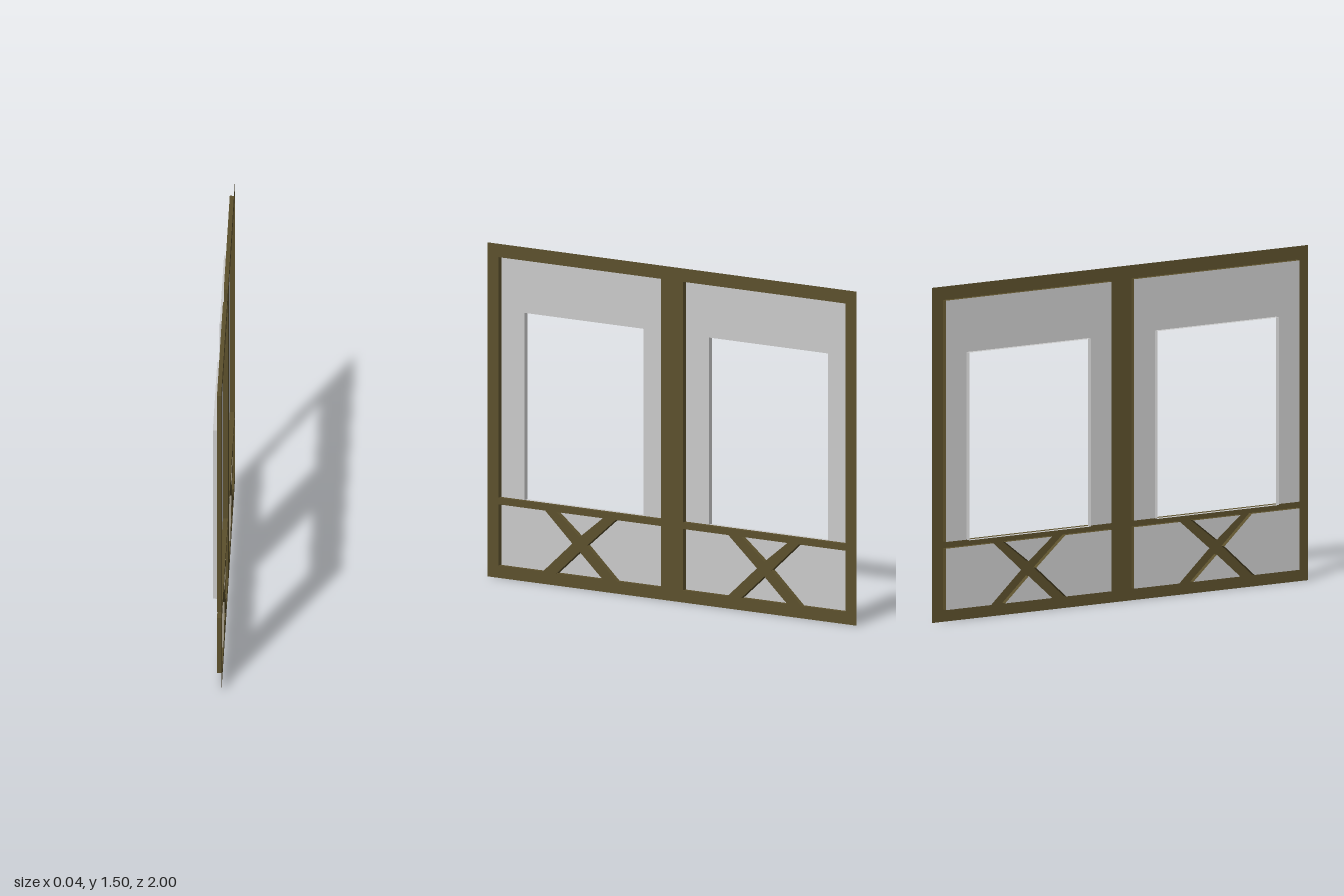
import * as THREE from 'three';

const FRONT = 0.022, WALL = 0, BACK = -0.022; // depth layers along x
const wood = new THREE.MeshStandardMaterial({ color: 0x5c502c, side: THREE.DoubleSide });
const plaster = new THREE.MeshStandardMaterial({ color: 0xcccccc, side: THREE.DoubleSide });

// Outlines are drawn as [u, y] with u = -z, so flat faces look towards +x.
const toPoints = (loop) => loop.map(([u, y]) => new THREE.Vector2(u, y));
const rect = (u0, u1, y0, y1) => [[u0, y0], [u1, y0], [u1, y1], [u0, y1]];

function addMesh(group, name, geometry, material) {
  const mesh = new THREE.Mesh(geometry, material);
  mesh.name = name;
  group.add(mesh);
}

// Flat sheet at depth x, with optional holes
function sheet(loop, x, holes = []) {
  const shape = new THREE.Shape(toPoints(loop));
  for (const hole of holes) shape.holes.push(new THREE.Path(toPoints(hole)));
  return new THREE.ShapeGeometry(shape).rotateY(Math.PI / 2).translate(x, 0, 0);
}

// Thin walls following a closed outline between two depths
function reveal(loop, x0, x1) {
  const positions = [];
  loop.forEach(([u, y], i) => {
    const [v, w] = loop[(i + 1) % loop.length];
    const a = [x0, y, -u], b = [x1, y, -u], c = [x1, w, -v], d = [x0, w, -v];
    positions.push(...a, ...c, ...b, ...a, ...d, ...c);
  });
  const geometry = new THREE.BufferGeometry();
  geometry.setAttribute('position', new THREE.Float32BufferAttribute(positions, 3));
  geometry.computeVertexNormals();
  return geometry;
}

export function createModel() {
  const model = new THREE.Group();
  model.name = 'timberWall';
  const openings = [];

  for (const side of [-1, 1]) {
    const bay = new THREE.Group();
    bay.name = side < 0 ? 'frontBay' : 'rearBay';
    const mirror = (loop) => {
      const out = loop.map(([u, y]) => [side * u, y]);
      return side < 0 ? out.reverse() : out;
    };

    // Upper panel wraps around the window on three sides
    const [w0, w1] = side < 0 ? [-0.815, -0.17] : [0.185, 0.83];
    const upper = mirror(rect(0.06, 0.94, 0.36, 1.44));
    const [p0, p1] = side < 0 ? [-0.94, -0.06] : [0.06, 0.94];
    addMesh(bay, 'upperPanel', sheet([
      [p0, 0.36], [w0, 0.36], [w0, 1.2], [w1, 1.2],
      [w1, 0.36], [p1, 0.36], [p1, 1.44], [p0, 1.44],
    ], WALL), plaster);
    addMesh(bay, 'windowReveal', reveal(rect(w0, w1, 0.36, 1.2), BACK, WALL), plaster);

    // Four lower panels left between the crossed braces
    const lower = [
      [[0.06, 0.055], [0.3, 0.055], [0.46, 0.198], [0.305, 0.33], [0.06, 0.33]],
      [[0.94, 0.33], [0.687, 0.33], [0.54, 0.198], [0.7, 0.055], [0.94, 0.055]],
      [[0.375, 0.33], [0.5, 0.232], [0.625, 0.33]],
      [[0.375, 0.055], [0.625, 0.055], [0.5, 0.165]],
    ].map(mirror);
    for (const loop of lower) addMesh(bay, 'lowerPanel', sheet(loop, WALL), plaster);

    // Timber edges running from the frame face back to the panels
    for (const loop of [upper, ...lower]) {
      openings.push(loop);
      addMesh(bay, 'timberEdge', reveal(loop, WALL, FRONT), wood);
    }
    model.add(bay);
  }

  // Single timber face: posts, rails and crossed braces
  addMesh(model, 'timberFrame', sheet(rect(-1, 1, 0, 1.5), FRONT, openings), wood);
  return model;
}
